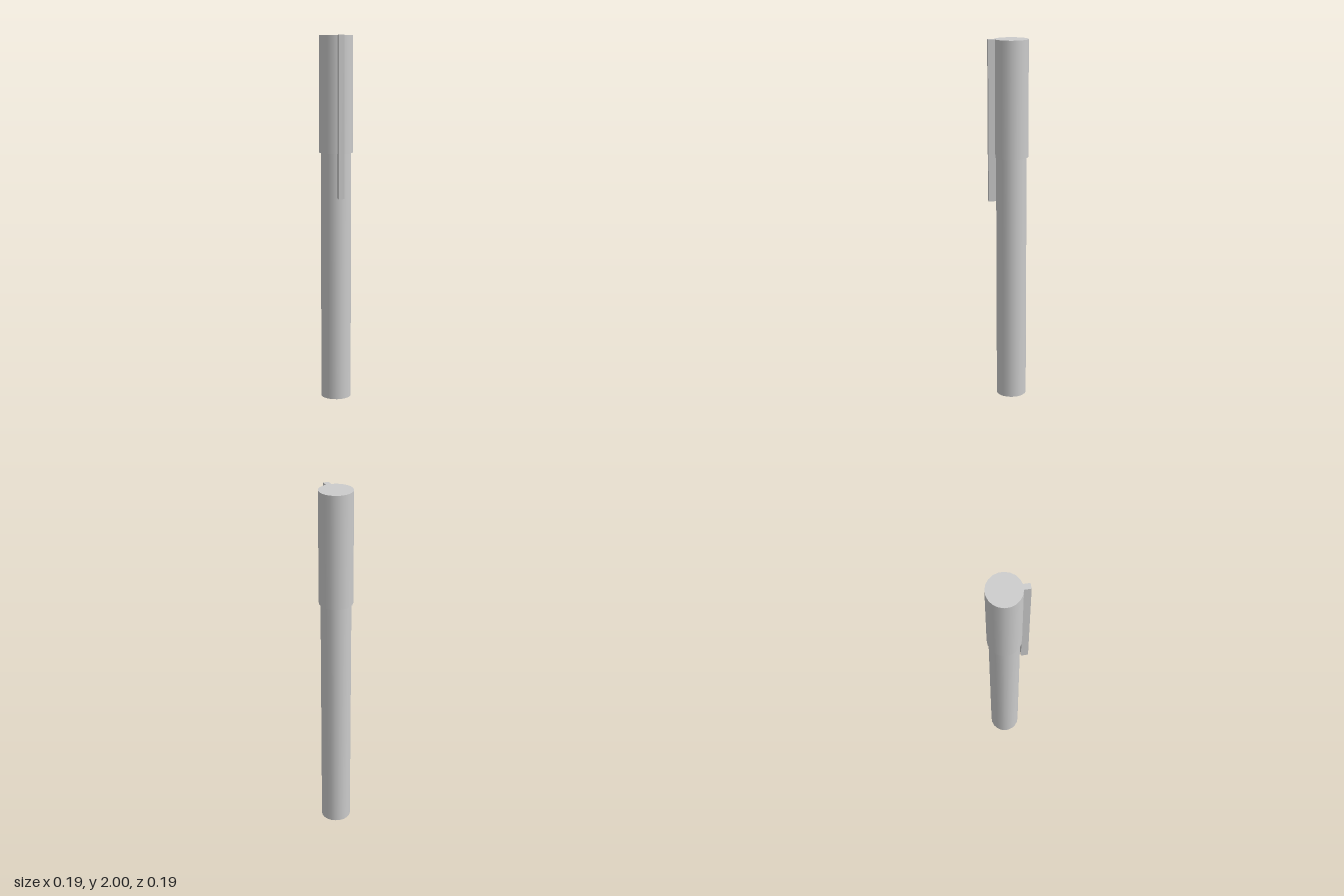
import * as THREE from 'three';

const SIDES = 20;
const material = new THREE.MeshStandardMaterial({ color: 0xcccccc });

function barrel(name, radius, bottom, top) {
  const geometry = new THREE.CylinderGeometry(radius, radius, top - bottom, SIDES);
  const mesh = new THREE.Mesh(geometry, material);
  mesh.name = name;
  mesh.position.y = (bottom + top) / 2;
  return mesh;
}

export function createModel() {
  const pen = new THREE.Group();
  pen.name = 'pen';

  // Slim body running up into the wider cap
  pen.add(barrel('body', 0.0825, 0, 1.4));
  pen.add(barrel('cap', 0.092, 1.37, 2));

  // Straight clip on the front left, flush with the cap top and hanging past its rim
  const inner = 0.088, outer = 0.1265, bottom = 1.13, top = 2;
  const clip = new THREE.Mesh(new THREE.BoxGeometry(0.03, top - bottom, outer - inner), material);
  clip.name = 'clip';
  const reach = (inner + outer) / 2;
  clip.rotation.y = Math.PI / 4;
  clip.position.set(reach * Math.SQRT1_2, (bottom + top) / 2, reach * Math.SQRT1_2);
  pen.add(clip);

  // Offset the barrel axis so that the clip is included in the centring
  pen.position.set(-0.004, 0, -0.004);
  const model = new THREE.Group();
  model.add(pen);
  return model;
}
